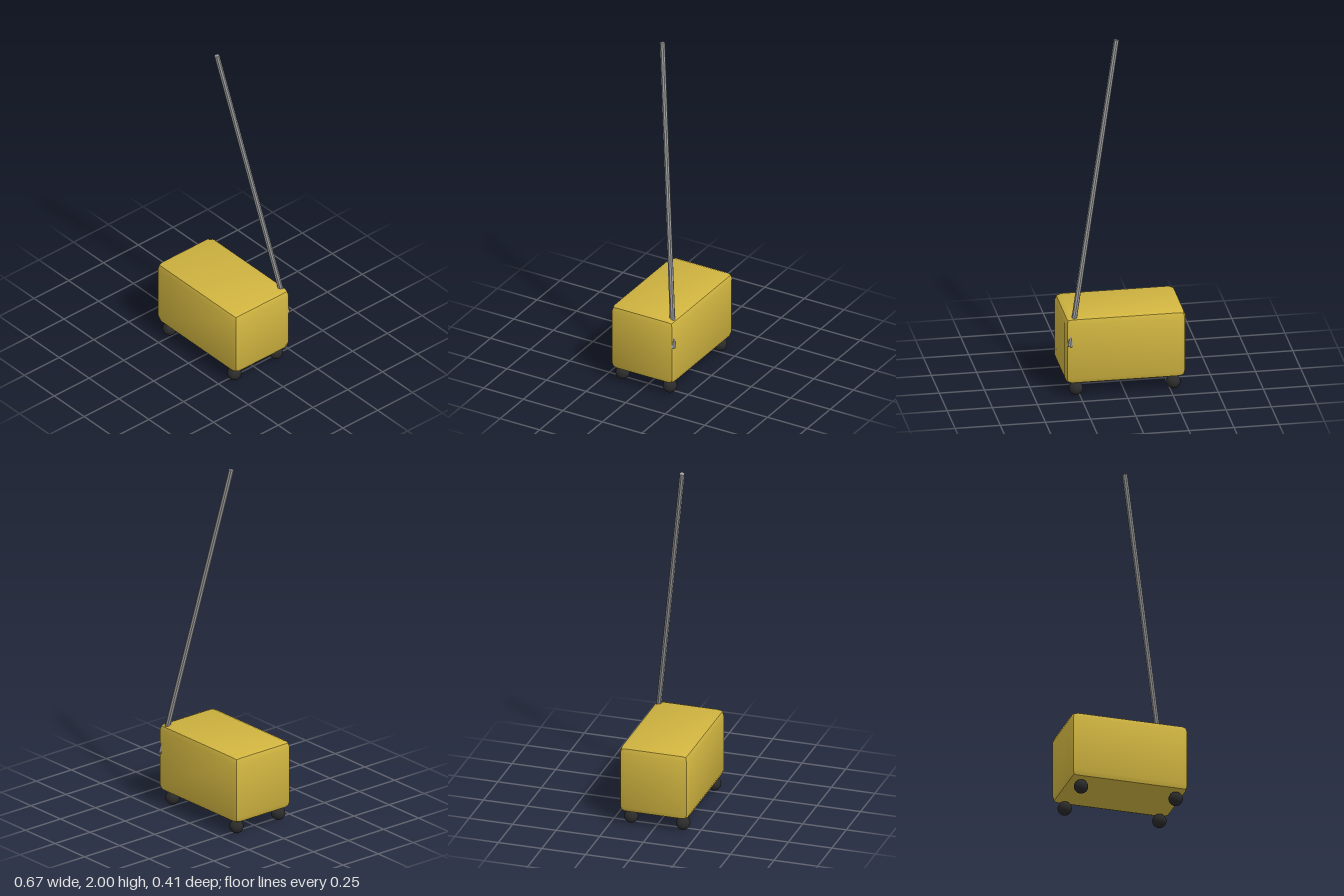
import * as THREE from 'three';
import { RoundedBoxGeometry } from 'three/addons/geometries/RoundedBoxGeometry.js';
import { toCreasedNormals } from 'three/addons/utils/BufferGeometryUtils.js';

const paint = (color) => new THREE.MeshStandardMaterial({ color });

export function createModel() {
  const model = new THREE.Group();
  model.name = 'wheeledBox';

  const add = (name, geometry, material, x, y, z) => {
    const mesh = new THREE.Mesh(geometry, material);
    mesh.name = name;
    mesh.position.set(x, y, z);
    model.add(mesh);
    return mesh;
  };

  // Body with two-step rounded edges
  const body = toCreasedNormals(new RoundedBoxGeometry(0.67, 0.394, 0.4, 1, 0.037), 0.6);
  add('body', body, paint(0xd0b440), 0, 0.274, 0);

  // Ball casters, one near each lower corner
  const ball = new THREE.SphereGeometry(0.039, 24, 16);
  const rubber = paint(0x2b2b2b);
  for (const x of [-0.27, 0.27]) {
    for (const z of [-0.145, 0.153]) {
      const name = (z > 0 ? 'front' : 'back') + (x > 0 ? 'Left' : 'Right') + 'Caster';
      add(name, ball, rubber, x, 0.039, z);
    }
  }

  // Leaning pole, its foot just breaking through the back left corner
  const foot = new THREE.Vector3(0.311, 0.305, -0.192);
  const tip = new THREE.Vector3(0.01, 1.997, 0.055);
  const axis = tip.clone().sub(foot);
  const middle = foot.clone().add(tip).multiplyScalar(0.5);
  const metal = paint(0x999999);
  metal.flatShading = true;
  const rod = new THREE.CylinderGeometry(0.015, 0.015, axis.length(), 8);
  const pole = add('pole', rod, metal, middle.x, middle.y, middle.z);
  pole.quaternion.setFromUnitVectors(new THREE.Vector3(0, 1, 0), axis.normalize());

  return model;
}
